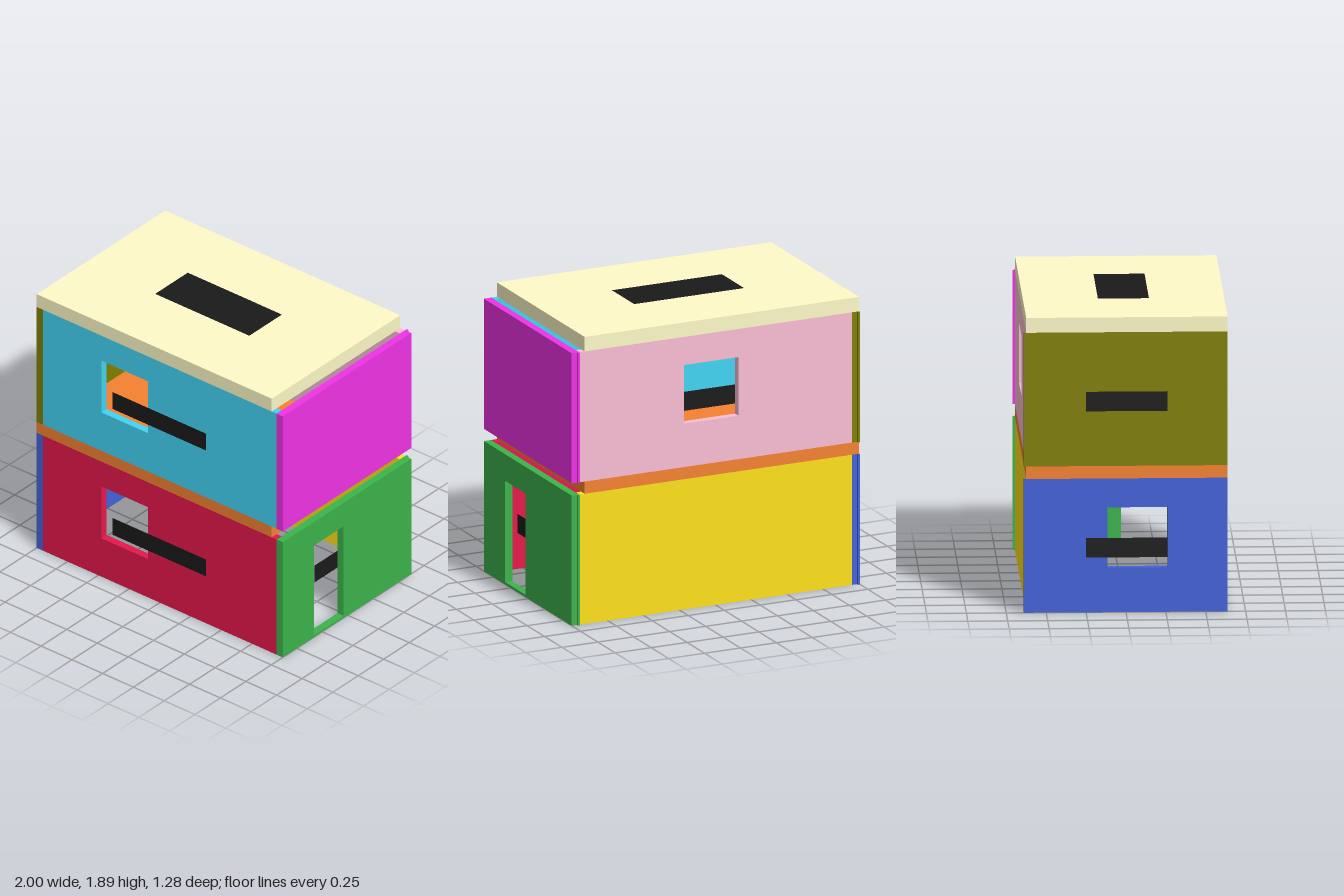
import * as THREE from 'three';

const T = 0.05; // wall thickness
const WALL_H = 0.855;

function paint(color, side = THREE.FrontSide) {
  return new THREE.MeshStandardMaterial({ color, side });
}

function rect(target, [u0, u1, v0, v1]) {
  target.moveTo(u0, v0);
  target.lineTo(u1, v0);
  target.lineTo(u1, v1);
  target.lineTo(u0, v1);
  target.closePath();
  return target;
}

// Upright panel in the u/v plane with an optional rectangular opening
function panel(u0, u1, opening) {
  const shape = rect(new THREE.Shape(), [u0, u1, 0, WALL_H]);
  if (opening) shape.holes.push(rect(new THREE.Path(), opening));
  return new THREE.ExtrudeGeometry(shape, { depth: T, bevelEnabled: false });
}

function plate(w, h) {
  const mesh = new THREE.Mesh(new THREE.PlaneGeometry(w, h), paint(0x1a1a1a, THREE.DoubleSide));
  mesh.name = 'darkPlate';
  return mesh;
}

// Wall across x, dark plate on its +z face
function crossWall(name, color, z, opening) {
  const group = new THREE.Group();
  group.name = name;
  const wall = new THREE.Mesh(panel(-0.95, 0.947, opening), paint(color));
  wall.name = name + 'Panel';
  const mark = plate(0.76, 0.125);
  mark.position.set(0, 0.413, T + 0.003);
  group.add(wall, mark);
  group.position.z = z;
  return group;
}

// Wall along z with a thin lip at the back, dark plate on its -x face
function sideWall(name, color, x, opening) {
  const group = new THREE.Group();
  group.name = name;
  const geometry = panel(-0.625, 0.637, opening);
  geometry.rotateY(-Math.PI / 2);
  geometry.translate(T, 0, 0);
  const wall = new THREE.Mesh(geometry, paint(color));
  wall.name = name + 'Panel';
  const lip = new THREE.Mesh(new THREE.BoxGeometry(0.015, WALL_H, 0.015), wall.material);
  lip.name = name + 'Lip';
  lip.position.set(0.0075, WALL_H / 2, -0.6325);
  const mark = plate(0.51, 0.125);
  mark.rotation.y = -Math.PI / 2;
  mark.position.set(-0.003, 0.413, 0.005);
  group.add(wall, lip, mark);
  group.position.x = x;
  return group;
}

// Horizontal slab with a dark plate on top
function slab(name, color, y0, y1) {
  const group = new THREE.Group();
  group.name = name;
  const board = new THREE.Mesh(new THREE.BoxGeometry(1.91, y1 - y0, 1.262), paint(color));
  board.name = name + 'Board';
  board.position.set(-0.045, (y0 + y1) / 2, 0.006);
  const mark = plate(0.765, 0.32);
  mark.rotation.x = -Math.PI / 2;
  mark.position.set(-0.045, y1 + 0.003, 0.005);
  group.add(board, mark);
  return group;
}

export function createModel() {
  const model = new THREE.Group();
  model.name = 'twoStoreyHouse';

  const frontWindow = [-0.475, -0.095, 0.285, 0.67];

  const ground = new THREE.Group();
  ground.name = 'groundStorey';
  ground.add(
    crossWall('groundFrontWall', 0xe6194b, 0.587, frontWindow),
    crossWall('groundBackWall', 0xffe119, -0.625),
    sideWall('groundRightWall', 0x4363d8, -1, [-0.115, 0.262, 0.285, 0.67]),
    sideWall('groundLeftWall', 0x3cb44b, 0.95, [0.04, 0.33, 0.015, 0.68]),
  );

  const upper = new THREE.Group();
  upper.name = 'upperStorey';
  upper.position.y = 0.935;
  upper.add(
    crossWall('upperFrontWall', 0x42d4f4, 0.587, frontWindow),
    crossWall('upperBackWall', 0xfabed4, -0.625, [-0.16, 0.217, 0.285, 0.67]),
    sideWall('upperRightWall', 0x808000, -1),
    sideWall('upperLeftWall', 0xf032e6, 0.95),
  );

  model.add(
    ground,
    slab('middleFloor', 0xf58231, WALL_H, 0.935),
    upper,
    slab('roof', 0xfffac8, 1.79, 1.885),
  );
  return model;
}
